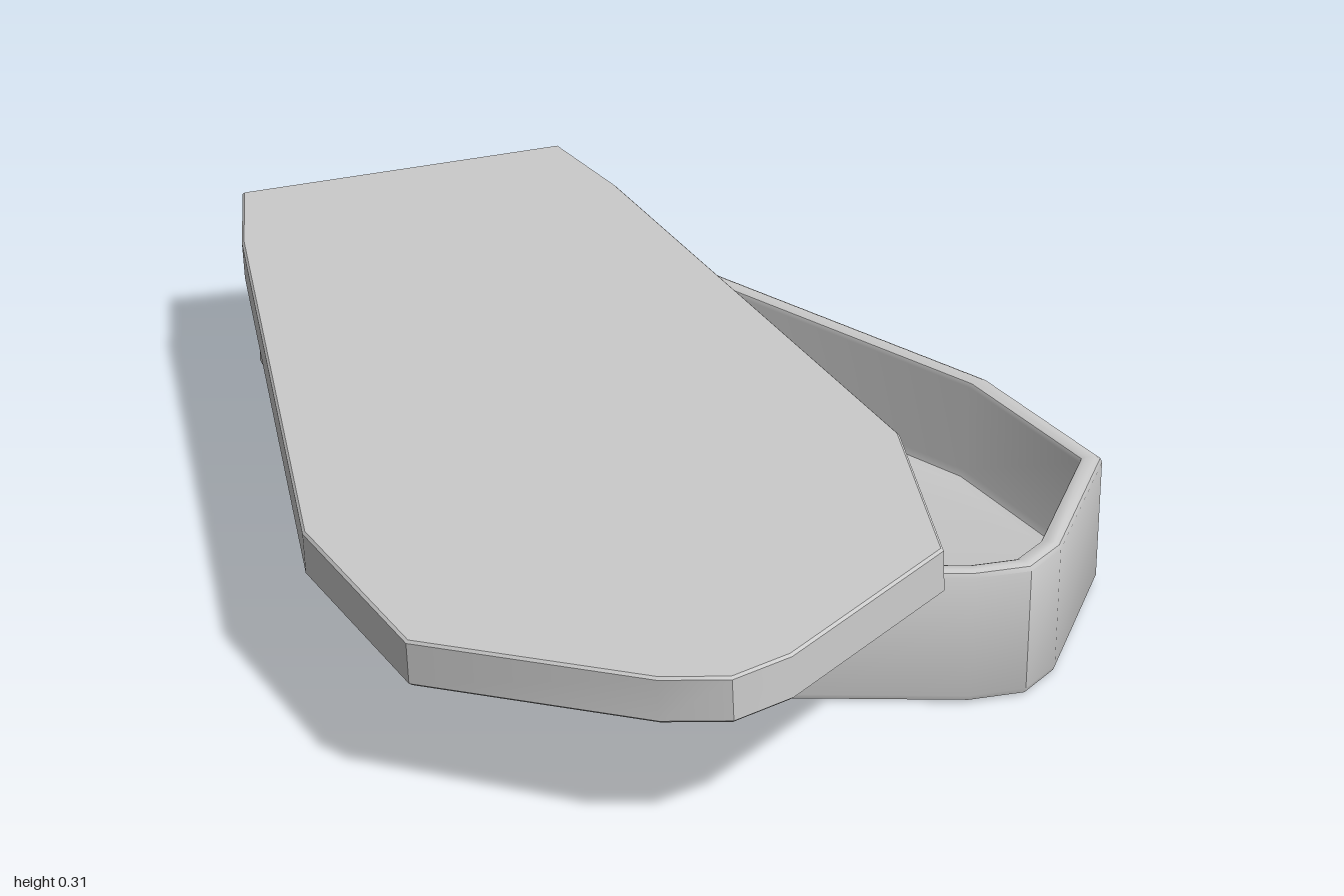
import * as THREE from 'three';
import { toCreasedNormals } from 'three/addons/utils/BufferGeometryUtils.js';

// Half outline of the coffin from foot to head: [distance from foot, half width]
const HALF = [[0, 0.292], [0.22, 0.338], [1.36, 0.476], [1.757, 0.409], [1.99, 0.1], [2.026, 0]];

function outline(scale) {
  const back = HALF.map(([x, w]) => new THREE.Vector2(x * scale, -w * scale));
  const front = HALF.slice(0, -1).reverse().map(([x, w]) => new THREE.Vector2(x * scale, w * scale));
  return [...back, ...front];
}

// Moves every side of the outline inwards by d, keeping the corners mitred
function inset(points, d) {
  const n = points.length;
  return points.map((p, i) => {
    const a = p.clone().sub(points[(i + n - 1) % n]).normalize();
    const b = points[(i + 1) % n].clone().sub(p).normalize();
    const n1 = new THREE.Vector2(-a.y, a.x);
    const n2 = new THREE.Vector2(-b.y, b.x);
    return n1.clone().add(n2).multiplyScalar(d / (1 + n1.dot(n2))).add(p);
  });
}

// Closed solid swept through rings of [inset, height]; both ends are capped
function shell(points, profile) {
  const n = points.length;
  const pos = [];
  const index = [];
  for (const [d, y] of profile) for (const p of inset(points, d)) pos.push(p.x, y, p.y);
  for (let r = 0; r < profile.length - 1; r++) {
    for (let i = 0; i < n; i++) {
      const a = r * n + i, a2 = r * n + (i + 1) % n;
      index.push(a, a + n, a2, a2, a + n, a2 + n);
    }
  }
  const last = (profile.length - 1) * n;
  for (let i = 1; i < n - 1; i++) {
    index.push(0, i, i + 1);
    index.push(last, last + i + 1, last + i);
  }
  const geo = new THREE.BufferGeometry();
  geo.setAttribute('position', new THREE.Float32BufferAttribute(pos, 3));
  geo.setIndex(index);
  return toCreasedNormals(geo, 0.65);
}

export function createModel() {
  const model = new THREE.Group();
  model.name = 'coffin';
  const material = new THREE.MeshStandardMaterial({ color: 0xcccccc });

  // Hollow box: underside, outer wall, rounded rim, inner wall, floor
  const box = new THREE.Mesh(shell(outline(0.869), [
    [0.012, 0], [0.003, 0.004], [0, 0.012],
    [0, 0.21], [0.003, 0.217], [0.01, 0.22],
    [0.024, 0.22], [0.031, 0.217], [0.034, 0.21],
    [0.042, 0.065], [0.047, 0.054], [0.06, 0.05],
  ]), material);
  box.name = 'coffinBox';
  box.position.set(-0.87, 0, -0.265);
  model.add(box);

  // Lid with a hollow underside: ceiling, inner wall, rim, outer wall, top
  const lid = new THREE.Mesh(shell(outline(1), [
    [0.06, -0.03], [0.05, -0.034], [0.046, -0.042],
    [0.042, -0.068], [0.035, -0.075],
    [0.006, -0.075], [0, -0.07],
    [0, -0.004], [0.004, 0],
  ]), material);
  lid.name = 'coffinLid';

  // The lid lies askew, turned and tipped down at the front
  const up = new THREE.Vector3(0, 1, 0);
  const normal = new THREE.Vector3(-0.01, 1, 0.059).normalize();
  lid.quaternion.setFromUnitVectors(up, normal)
    .multiply(new THREE.Quaternion().setFromAxisAngle(up, -THREE.MathUtils.degToRad(21.1)));
  lid.position.set(-0.895, 0.295, -0.3375);
  model.add(lid);

  return model;
}
